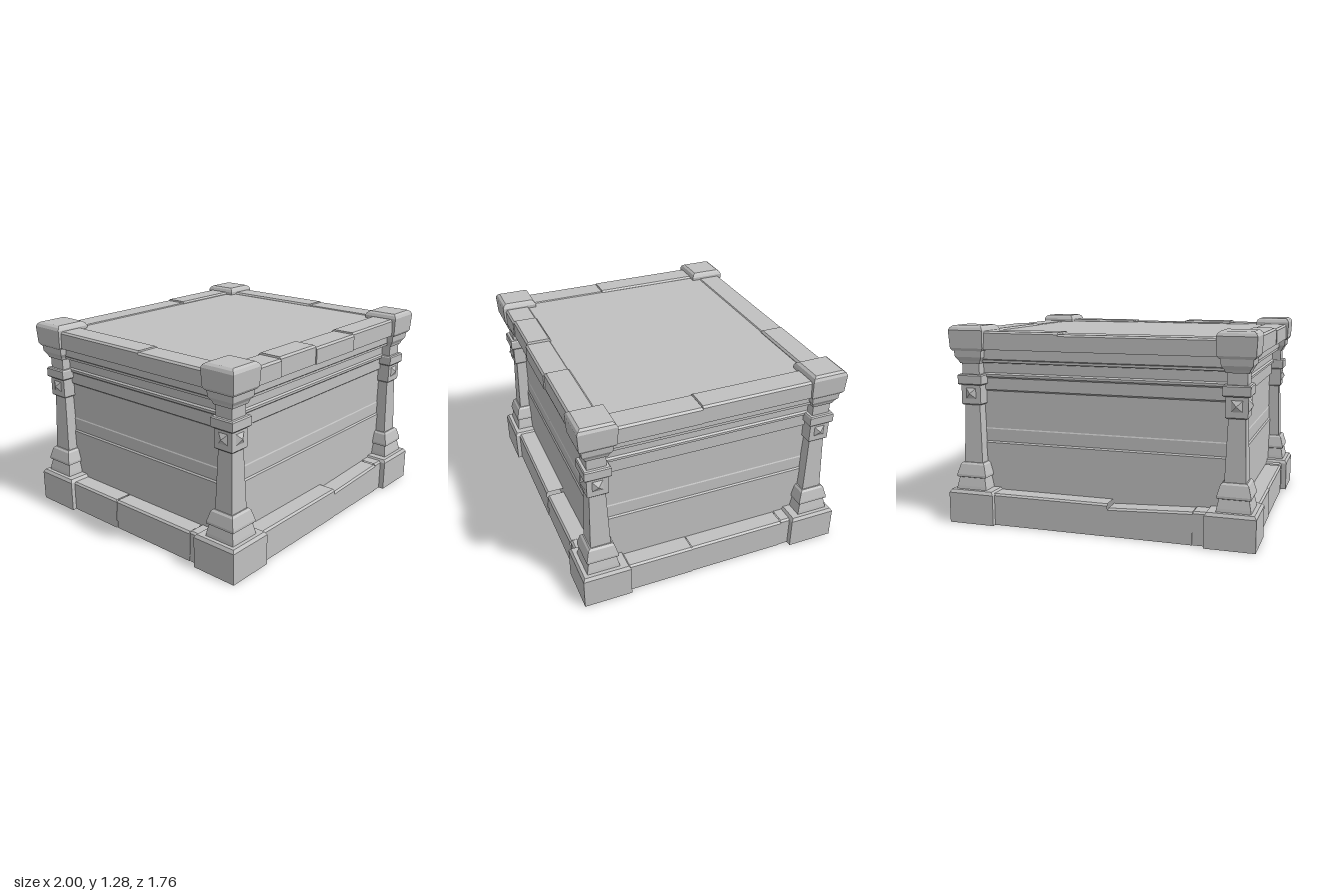
import * as THREE from 'three';

const stone = new THREE.MeshStandardMaterial({ color: 0xc0c0c0, flatShading: true, side: THREE.DoubleSide });
stone.name = 'grey stone';

// Stack of rectangles [halfX, halfZ, y] joined by flat faces.
// Sides: 0 front, 1 right, 2 back, 3 left.
function loft(rings, { top = true, bottom = false, skip = [] } = {}) {
  const pos = [];
  const corners = rings.map(([x, z, y]) => [[-x, y, z], [x, y, z], [x, y, -z], [-x, y, -z]]);
  const quad = (a, b, c, d) => pos.push(...a, ...b, ...c, ...a, ...c, ...d);
  for (let k = 0; k < rings.length - 1; k++) {
    for (let i = 0; i < 4; i++) {
      if (skip.includes(i)) continue;
      const j = (i + 1) % 4;
      quad(corners[k][i], corners[k][j], corners[k + 1][j], corners[k + 1][i]);
    }
  }
  if (top) quad(...corners[corners.length - 1]);
  if (bottom) quad(...[...corners[0]].reverse());
  const g = new THREE.BufferGeometry();
  g.setAttribute('position', new THREE.Float32BufferAttribute(pos, 3));
  g.computeVertexNormals();
  return g;
}

const square = (rows) => rows.map(([h, y]) => [h, h, y]);

function add(parent, name, geometry, x = 0, y = 0, z = 0) {
  const m = new THREE.Mesh(geometry, stone);
  m.name = name;
  m.position.set(x, y, z);
  parent.add(m);
  return m;
}

// Stone from u0 to u1 along a side, with bevelled upper edges; tilt lifts the right end
function block(parent, name, [u0, u1, h, push = 0, tilt = 0], inner, outer, y0, options) {
  const hx = (u1 - u0) / 2, hz = (outer + push - inner) / 2, b = 0.012;
  const g = loft([[hx, hz, y0], [hx, hz, h - b], [hx - b / 4, hz - b, h]], options);
  const p = g.attributes.position;
  for (let i = 0; i < p.count; i++) {
    if (p.getY(i) > y0 + 0.01) p.setY(i, p.getY(i) + tilt * p.getX(i) / hx);
  }
  g.computeVertexNormals();
  add(parent, name, g, (u0 + u1) / 2, 0, inner + hz);
}

function pillar() {
  const g = new THREE.Group();
  // hollow plinth: two outer faces, short returns to the base course, bevelled lid
  const c = -0.013, r = 0.155;
  add(g, 'plinth', loft(square([[r, 0], [r, 0.2]]), { top: false, skip: [2, 3] }), c, 0, c);
  add(g, 'plinthLid', loft(square([[r, 0.2], [0.142, 0.22]])), c, 0, c);
  const strip = new THREE.PlaneGeometry(0.045, 0.2);
  add(g, 'plinthReturn', strip, c + r - 0.0225, 0.1, c - r).rotation.y = Math.PI;
  add(g, 'plinthReturn', strip, c - r, 0.1, c + r - 0.0225).rotation.y = -Math.PI / 2;

  add(g, 'foot', loft(square([
    [0.106, 0.215], [0.102, 0.24], [0.09, 0.295], [0.102, 0.3], [0.102, 0.315],
    [0.084, 0.38], [0.072, 0.392],
  ])));
  add(g, 'shaft', loft(square([[0.065, 0.385], [0.051, 0.775]])));
  add(g, 'studBlock', loft(square([[0.06, 0.77], [0.067, 0.777], [0.067, 0.905]]), { bottom: true }));
  add(g, 'collar', loft(square([
    [0.077, 0.9], [0.083, 0.907], [0.083, 0.96], [0.077, 0.968],
  ]), { bottom: true }));
  add(g, 'neck', loft(square([[0.06, 0.96], [0.06, 1.045]])));
  add(g, 'corbel', loft(square([
    [0.069, 1.037], [0.075, 1.055], [0.092, 1.08], [0.096, 1.125],
  ]), { bottom: true }));
  add(g, 'cap', loft(square([
    [0.102, 1.12], [0.113, 1.137], [0.119, 1.25], [0.11, 1.268], [0.094, 1.279],
  ]), { bottom: true }));
  // pyramid studs on the two outward faces
  for (const front of [true, false]) {
    const s = add(g, 'stud', new THREE.ConeGeometry(0.05, 0.022, 4, 1, true).rotateY(Math.PI / 4));
    s.position.set(front ? 0 : 0.077, 0.845, front ? 0.077 : 0);
    if (front) s.rotation.x = Math.PI / 2;
    else s.rotation.z = -Math.PI / 2;
  }
  return g;
}

export function createModel() {
  const model = new THREE.Group();
  model.name = 'stonePedestal';

  // Wall sheet with stepped mouldings: [offset from wall, y]
  const profile = [
    [0.012, 0.12], [0.012, 0.515], [0.004, 0.525], [0.004, 0.605], [0, 0.612], [0, 0.855],
    [0.014, 0.865], [0.014, 0.94], [0.028, 0.95], [0.028, 0.965], [0.018, 0.975], [0.018, 1.037],
    [0.06, 1.045], [0.06, 1.06], [0.068, 1.066], [0.068, 1.14],
  ];
  add(model, 'walls', loft(profile.map(([d, y]) => [0.84 + d, 0.72 + d, y]), { top: false }));
  add(model, 'topPanel', new THREE.BoxGeometry(1.62, 0.06, 1.38), 0, 1.2, 0);

  // Stones of each side: [start, end, top height, extra depth, tilt]
  const frontBase = [
    [-0.7, 0.08, 0.207, 0.003], [0.08, 0.615, 0.192, 0, 0.012], [0.615, 0.7, 0.208, -0.004],
  ];
  const sideBase = [
    [-0.58, -0.145, 0.2, 0.003], [-0.145, 0.505, 0.198, -0.001], [0.505, 0.58, 0.202, -0.005],
  ];
  const sides = [
    {
      name: 'front', yaw: 0, wall: 0.72, base: frontBase,
      coping: [[-0.76, -0.53, 1.24, 0.002], [-0.53, -0.18, 1.25, -0.004],
        [-0.18, 0.24, 1.236, 0.004], [0.24, 0.76, 1.245, -0.004]],
    },
    {
      name: 'right', yaw: Math.PI / 2, wall: 0.84, base: sideBase,
      coping: [[-0.64, -0.1, 1.236, 0.002], [-0.1, 0.64, 1.243, -0.002]],
    },
    {
      name: 'back', yaw: Math.PI, wall: 0.72, base: frontBase,
      coping: [[-0.76, -0.24, 1.246, -0.004], [-0.24, 0.76, 1.236, 0.002]],
    },
    {
      name: 'left', yaw: -Math.PI / 2, wall: 0.84, base: sideBase,
      coping: [[-0.64, 0.1, 1.243, -0.002], [0.1, 0.64, 1.236, 0.002]],
    },
  ];
  for (const s of sides) {
    const g = new THREE.Group();
    g.name = s.name + 'Stones';
    g.rotation.y = s.yaw;
    // base stones are open shells: outer face and top only
    for (const b of s.base) block(g, 'baseStone', b, s.wall, s.wall + 0.128, 0, { skip: [1, 2, 3] });
    for (const c of s.coping) {
      block(g, 'copingStone', c, s.wall - 0.05, s.wall + 0.117, 1.13, { bottom: true });
    }
    model.add(g);
  }

  // Four corner pillars; each quarter turn keeps the studs facing outward
  const corners = [
    ['frontLeftPillar', 1, 1, 0], ['backLeftPillar', 1, -1, Math.PI / 2],
    ['backRightPillar', -1, -1, Math.PI], ['frontRightPillar', -1, 1, -Math.PI / 2],
  ];
  for (const [name, sx, sz, yaw] of corners) {
    const p = pillar();
    p.name = name;
    p.position.set(sx * 0.857, 0, sz * 0.738);
    p.rotation.y = yaw;
    model.add(p);
  }
  return model;
}
